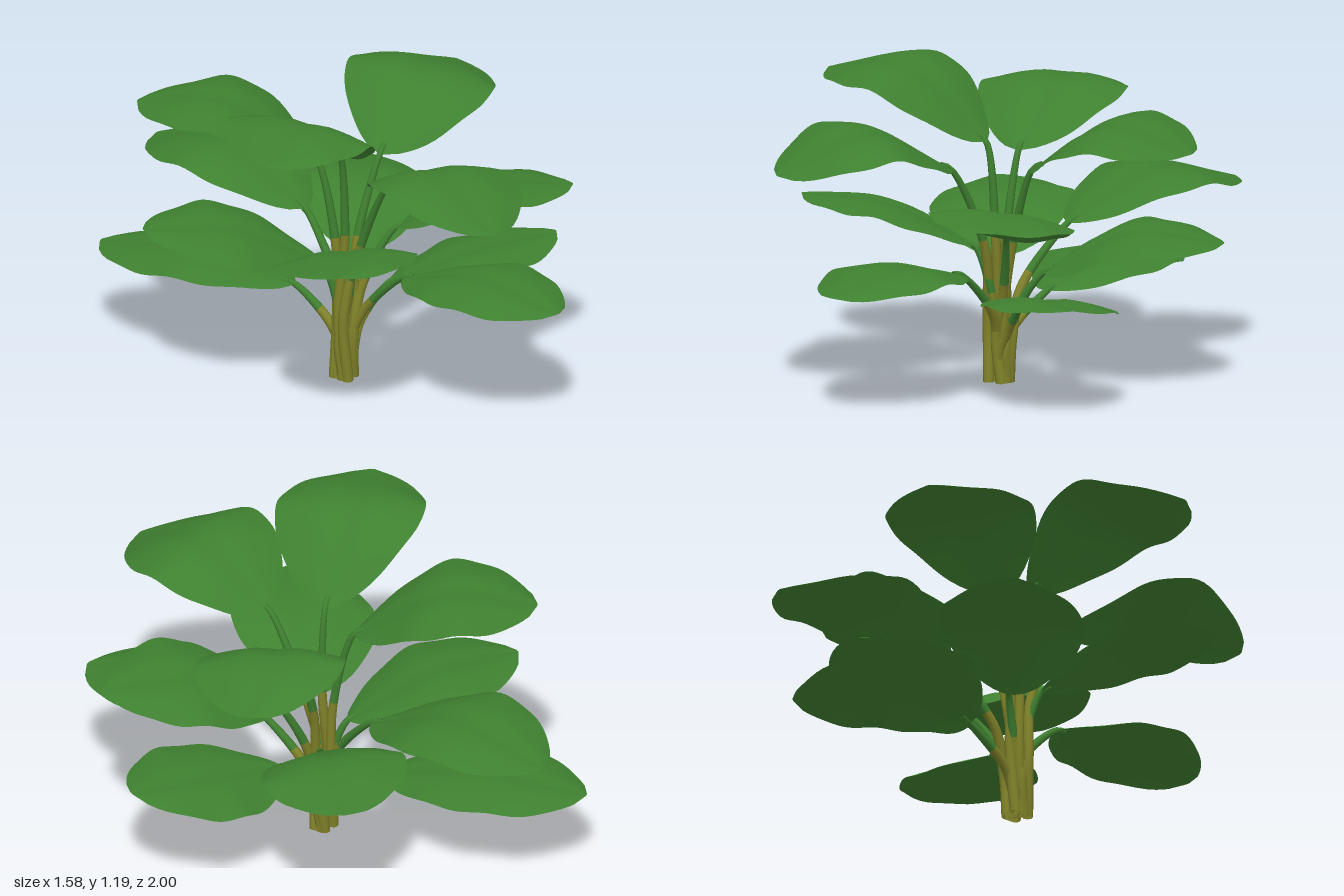
import * as THREE from 'three';

const V = (x, y, z) => new THREE.Vector3(x, y, z);

// Tiers of leaves; each leaf: base and tip of the midrib, arch of its middle, sideways tilt
const TIERS = [
  { name: 'topLeaf', halfWidth: 0.275, footRadius: 0.034, leaves: [
    [V(-0.12, 0.91, 0.06), V(-0.79, 1.12, 0.21), 0.15, 0.07],
    [V(-0.10, 0.84, 0.27), V(-0.34, 0.88, 0.95), 0.15, 0.1],
    [V(0.12, 0.84, 0.06), V(0.79, 0.97, -0.10), 0.14, -0.12],
    [V(-0.09, 0.86, -0.08), V(-0.36, 1.02, -0.71), 0.12, 0],
  ] },
  { name: 'middleLeaf', halfWidth: 0.265, footRadius: 0.024, leaves: [
    [V(0.03, 0.58, -0.22), V(0.14, 0.66, -1), 0.12, 0],
    [V(0.08, 0.58, 0.16), V(0.52, 0.74, 0.66), 0.09, 0.13],
    [V(-0.12, 0.52, 0.12), V(-0.68, 0.695, 0.47), 0.06, -0.12],
    [V(-0.11, 0.46, -0.04), V(-0.60, 0.63, -0.50), 0.07, 0.1],
    [V(0.09, 0.43, -0.03), V(0.64, 0.56, -0.43), 0.1, -0.1],
  ] },
  { name: 'lowLeaf', halfWidth: 0.25, footRadius: 0.014, leaves: [
    [V(0.12, 0.34, 0.11), V(0.70, 0.44, 0.44), 0.025, 0.11],
    [V(-0.03, 0.45, 0.29), V(-0.01, 0.47, 1), 0.07, 0],
    [V(-0.06, 0.31, -0.20), V(-0.22, 0.345, -0.99), 0.06, 0],
  ] },
];

// Broad blade spread on both sides of a curved midrib, edges drooping slightly
function bladeGeometry(base, mid, tip, dir, halfWidth, tilt) {
  const rib = new THREE.CatmullRomCurve3([base, mid, tip]);
  const side = V(-dir.z, 0, dir.x);
  const geo = new THREE.PlaneGeometry(2, 1, 12, 28);
  const pos = geo.attributes.position;
  const p = V(0, 0, 0);
  for (let i = 0; i < pos.count; i++) {
    const s = pos.getX(i);
    const u = THREE.MathUtils.clamp(pos.getY(i) + 0.5, 0, 1);
    const fullness = Math.pow(Math.max(0, Math.sin(Math.PI * Math.pow(u, 1.12))), 0.63);
    const w = s * (0.008 + halfWidth * fullness);
    rib.getPoint(u, p).addScaledVector(side, w);
    const fold = 0.012 * Math.min(1, Math.abs(s) * 3);
    const ripple = 0.006 * Math.sin(u * 20 + s * 2) * s * s;
    p.y += tilt * (1.4 - 0.9 * u) * w + fullness * (fold + ripple - 0.045 * s * s);
    pos.setXYZ(i, p.x, p.y, p.z);
  }
  geo.computeVertexNormals();
  return geo;
}

// Tapered stalk twisting up from one of two clumps; lower and upper parts are material groups
function stalkGeometry(base, mid, dir, footRadius) {
  const centre = V(-0.045, 0, 0.045);
  const foot = V(-0.068 + Math.sign(dir.x) * 0.026, 0, 0.042 + dir.z * footRadius);
  const lean = foot.clone().lerp(centre, 0.1).addScaledVector(V(-dir.z, 0, dir.x), 0.02).setY(base.y * 0.3);
  const bend = foot.clone().lerp(centre, 0.5).lerp(base, 0.25).setY(base.y * 0.62);
  const path = new THREE.CatmullRomCurve3([foot, lean, bend, base, base.clone().lerp(mid, 0.12)]);
  const rings = 30, sides = 8, split = 18;
  const geo = new THREE.TubeGeometry(path, rings, 0.021, sides);
  const pos = geo.attributes.position;
  const p = V(0, 0, 0), c = V(0, 0, 0);
  for (let i = 0; i < pos.count; i++) {
    const t = Math.floor(i / (sides + 1)) / rings;
    path.getPointAt(t, c);
    p.fromBufferAttribute(pos, i).sub(c).multiplyScalar(1 - 0.5 * t * t).add(c);
    pos.setXYZ(i, p.x, Math.max(0, p.y), p.z);
  }
  geo.addGroup(0, split * sides * 6, 0);
  geo.addGroup(split * sides * 6, (rings - split) * sides * 6, 1);
  return geo;
}

export function createModel() {
  const leafGreen = new THREE.MeshStandardMaterial({ color: 0x3f8030, side: THREE.DoubleSide });
  leafGreen.name = 'leafGreen';
  const stalkOlive = new THREE.MeshStandardMaterial({ color: 0x7f8229, side: THREE.DoubleSide });
  stalkOlive.name = 'stalkOlive';

  const plant = new THREE.Group();
  plant.name = 'leafyPlant';
  for (const { name, halfWidth, footRadius, leaves } of TIERS) {
    leaves.forEach(([base, tip, arch, tilt], i) => {
      const mid = base.clone().lerp(tip, 0.5);
      mid.y += arch;
      const dir = tip.clone().sub(base).setY(0).normalize();
      const leaf = new THREE.Group();
      leaf.name = `${name}${i + 1}`;
      const blade = new THREE.Mesh(bladeGeometry(base, mid, tip, dir, halfWidth, tilt), leafGreen);
      blade.name = 'blade';
      const stalk = new THREE.Mesh(stalkGeometry(base, mid, dir, footRadius), [stalkOlive, leafGreen]);
      stalk.name = 'stalk';
      leaf.add(blade, stalk);
      plant.add(leaf);
    });
  }
  return plant;
}
